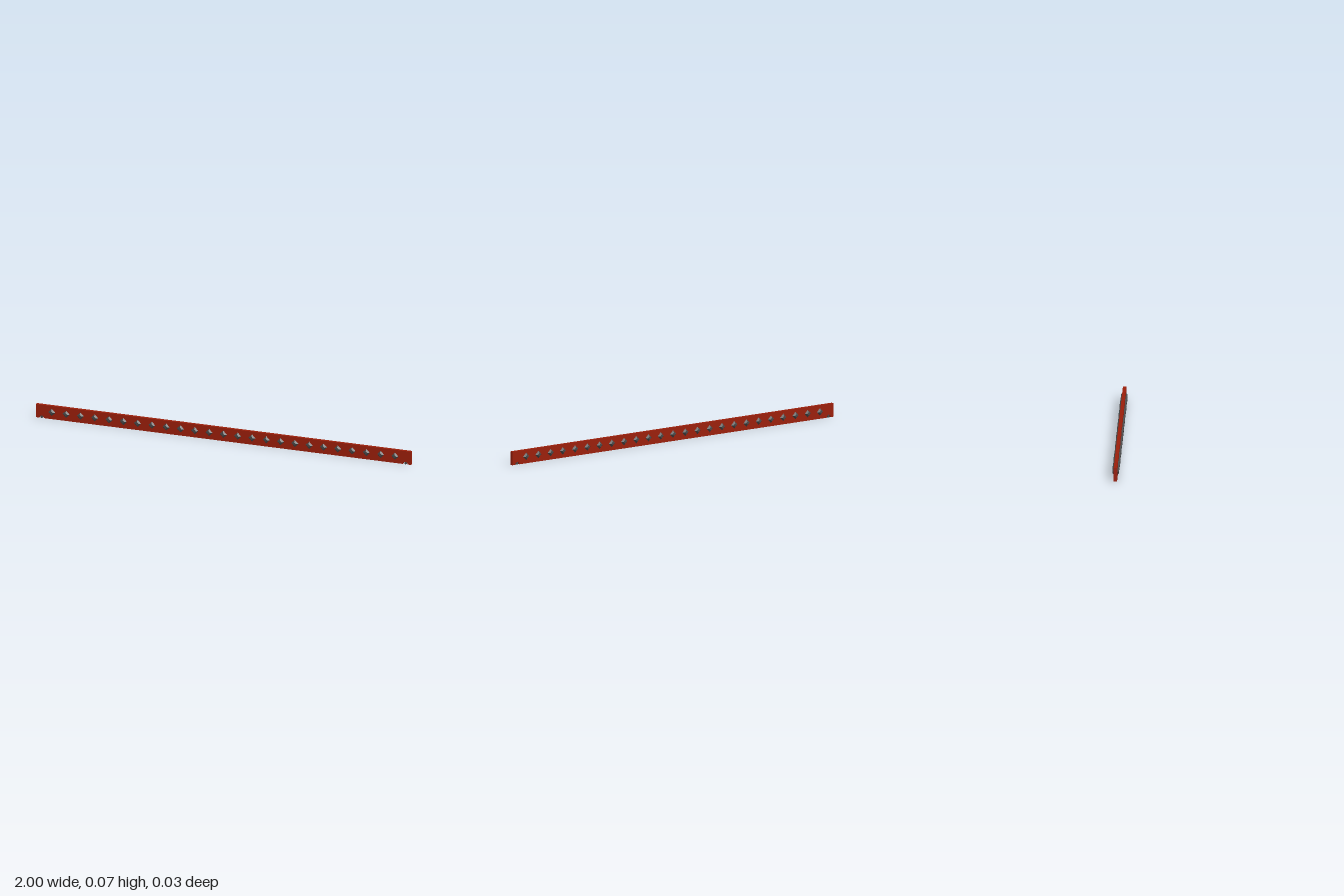
import * as THREE from 'three';

const HEIGHT = 0.068, HALF_DEPTH = 0.0085;
const NOTCH_X = 0.97, NOTCH_RADIUS = 0.013;

export function createModel() {
  const group = new THREE.Group();
  const red = new THREE.MeshStandardMaterial({ color: 0x9a1e0a });
  red.name = 'red paint';
  const iron = new THREE.MeshStandardMaterial({ color: 0x484848 });
  iron.name = 'dark iron';
  iron.flatShading = true;

  // Beam: a long plank with a small arched notch under each end
  const shape = new THREE.Shape();
  shape.moveTo(-1, 0);
  for (const x of [-NOTCH_X, NOTCH_X]) {
    shape.lineTo(x - NOTCH_RADIUS, 0);
    shape.absarc(x, 0, NOTCH_RADIUS, Math.PI, 0, true);
  }
  shape.lineTo(1, 0);
  shape.lineTo(1, HEIGHT);
  shape.lineTo(-1, HEIGHT);
  shape.closePath();
  const beamGeometry = new THREE.ExtrudeGeometry(shape, { depth: HALF_DEPTH * 2, bevelEnabled: false, curveSegments: 4 });
  beamGeometry.translate(0, 0, -HALF_DEPTH);
  const beam = new THREE.Mesh(beamGeometry, red);
  beam.name = 'beam';
  group.add(beam);

  // Pins: a small iron peg hanging in each notch
  for (const x of [-NOTCH_X, NOTCH_X]) {
    const pin = new THREE.Mesh(new THREE.BoxGeometry(0.009, 0.014, HALF_DEPTH * 2), iron);
    pin.name = 'notchPin';
    pin.position.set(x, 0.007, 0);
    group.add(pin);
  }

  // Studs: blunt diamond rivets in a row on both faces
  const rivetGeometry = new THREE.CylinderGeometry(0.009, 0.019, 0.0085, 4);
  rivetGeometry.rotateX(Math.PI / 2);
  const rivets = new THREE.Group();
  rivets.name = 'rivets';
  const count = 25, reach = 0.915;
  for (let i = 0; i < count; i++) {
    for (const side of [1, -1]) {
      const rivet = new THREE.Mesh(rivetGeometry, iron);
      rivet.name = side > 0 ? 'frontRivet' : 'backRivet';
      rivet.position.set(-reach + (2 * reach * i) / (count - 1), 0.035, side * (HALF_DEPTH + 0.00425));
      if (side < 0) rivet.rotation.y = Math.PI;
      rivets.add(rivet);
    }
  }
  group.add(rivets);
  return group;
}
